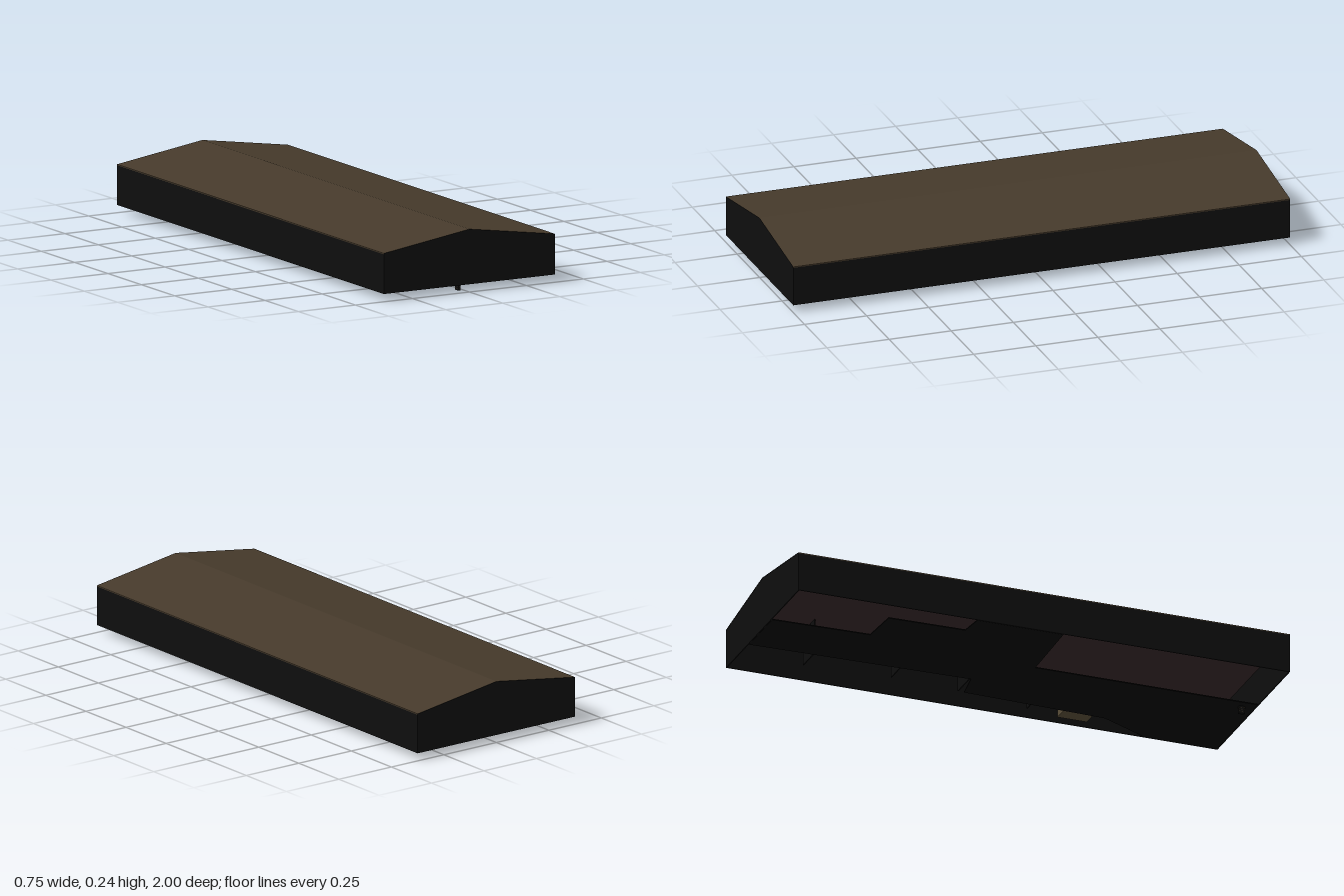
import * as THREE from 'three';

const W = 0.375, L = 1, BASE = 0.03, EAVE = 0.187, PEAK = 0.243, T = 0.004;

export function createModel() {
  const model = new THREE.Group();
  const mat = (name, color) => {
    const m = new THREE.MeshStandardMaterial({ color });
    m.name = name;
    return m;
  };
  const wallBlack = mat('wall black', 0x0e0e0e);
  const floorBlack = mat('floor black', 0x060606);
  const roofBrown = mat('roof brown', 0x463a2b);
  const ceilingRed = mat('ceiling red brown', 0x38292a);
  const benchKhaki = mat('bench khaki', 0x5a4e38);

  const add = (name, geo, material) => {
    const mesh = new THREE.Mesh(geo, material);
    mesh.name = name;
    model.add(mesh);
    return mesh;
  };
  const box = (name, material, w, h, d, x, y, z) =>
    add(name, new THREE.BoxGeometry(w, h, d), material).position.set(x, y, z);
  const extrude = (points, depth) => new THREE.ExtrudeGeometry(
    new THREE.Shape(points.map(p => new THREE.Vector2(...p))),
    { depth, bevelEnabled: false });

  // Shallow two-slope roof
  add('roof', extrude([[-W, EAVE], [-W, EAVE - T], [0, PEAK - T], [W, EAVE - T], [W, EAVE], [0, PEAK]],
    2 * L).translate(0, 0, -L), roofBrown);

  // Gable end walls
  const gable = [[-W, BASE], [W, BASE], [W, EAVE - T], [0, PEAK - T], [-W, EAVE - T]];
  add('frontWall', extrude(gable, T).translate(0, 0, L - T), wallBlack);
  add('backWall', extrude(gable, T).translate(0, 0, -L), wallBlack);
  // Thin black barge boards over the roof ends
  const barge = [[-W, EAVE - T], [0, PEAK - T], [W, EAVE - T], [W, EAVE], [0, PEAK], [-W, EAVE]];
  for (const z of [-L, L - 0.001])
    add('bargeBoard', extrude(barge, 0.001).translate(0, 0, z < 0 ? z - 0.0005 : z + 0.0005), wallBlack);

  // Long side walls
  for (const s of [-1, 1])
    box('sideWall', wallBlack, T, EAVE - T - BASE, 2 * L - 2 * T, s * (W - T / 2), (BASE + EAVE - T) / 2, 0);

  // Flat ceiling below the roof
  box('ceiling', ceilingRed, 2 * W - 2 * T, 0.002, 2 * L - 2 * T, 0, EAVE - 0.006, 0);

  // Irregular floor, open along both sides; points are x, z
  const plan = [[-0.055, 0.995], [-0.055, 0.09], [-0.37, 0.08], [-0.37, -0.27], [-0.27, -0.28],
    [-0.265, -0.59], [-0.1, -0.6], [-0.09, -0.995], [0.15, -0.995], [0.13, -0.1],
    [0.25, -0.08], [0.27, 0.5], [0.37, 0.7], [0.37, 0.995]];
  add('floor', extrude(plan, T).rotateX(Math.PI / 2).translate(0, BASE + T, 0), floorBlack);

  // Partitions standing beside the floor
  for (const [x, z, w] of [[0.2, -0.73, 0.12], [0.18, -0.38, 0.12], [0.19, -0.1, 0.14], [0.27, 0.2, 0.08]])
    box('partition', wallBlack, w, 0.14, T, x, 0.107, z);

  // Bench near the left wall
  box('bench', benchKhaki, 0.08, 0.04, 0.12, 0.306, 0.06, 0.397);

  // Small stepped post under the front
  box('post', wallBlack, 0.011, BASE + 0.002, 0.024, -0.018, (BASE + 0.002) / 2, 0.943);
  for (const y of [0.008, 0.016, 0.024])
    box('postStep', roofBrown, 0.012, 0.001, 0.025, -0.018, y, 0.943);

  return model;
}
